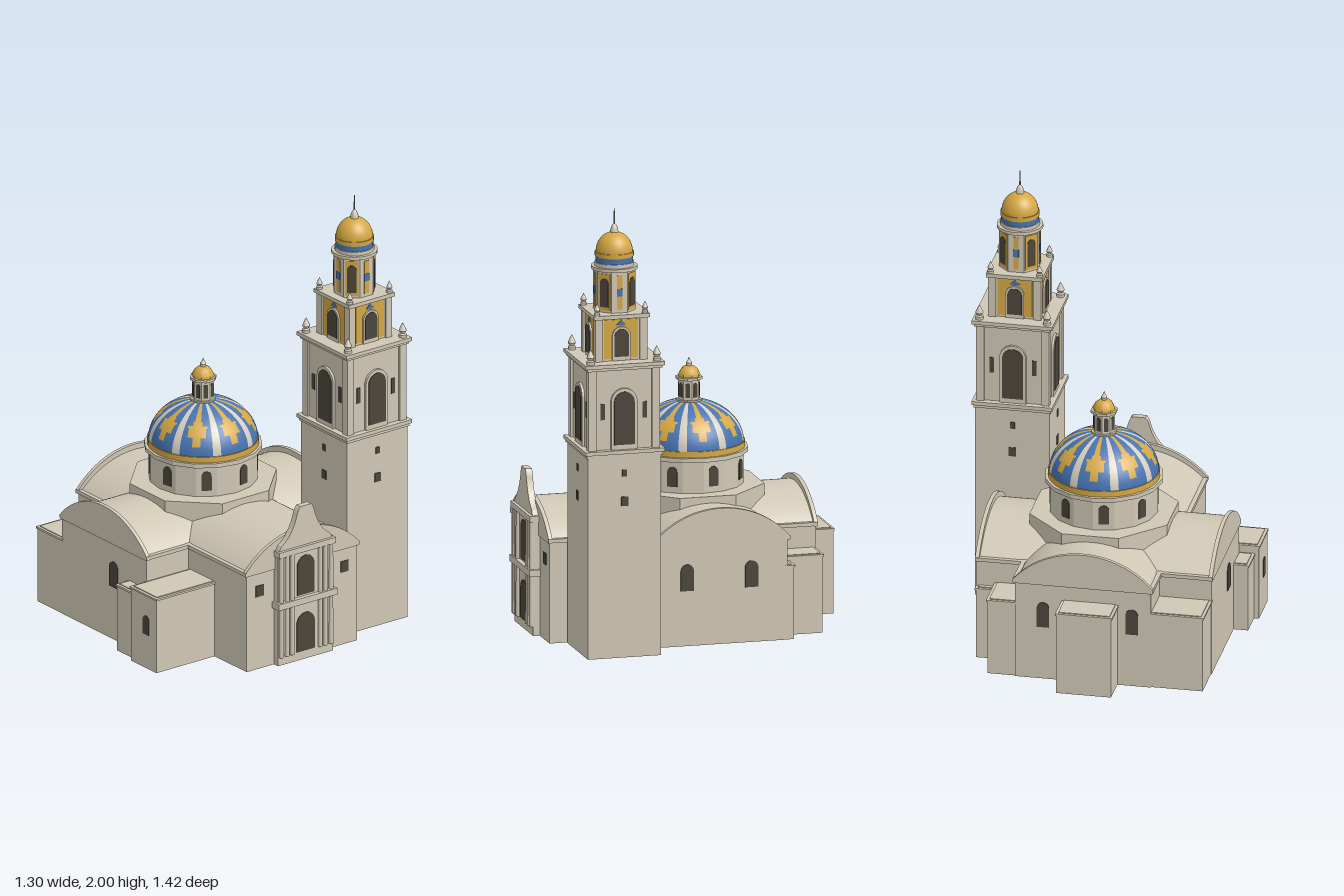
import * as THREE from 'three';
import { toCreasedNormals } from 'three/addons/utils/BufferGeometryUtils.js';

const mat = (name, color, side = THREE.FrontSide) =>
  Object.assign(new THREE.MeshStandardMaterial({ color, side }), { name });

export function createModel() {
  const stone = mat('stone', 0xd0c8b5, THREE.DoubleSide); // the halls are open underneath
  const dark = mat('dark opening', 0x4b463b);
  const blue = mat('blue tile', 0x4673b0);
  const gold = mat('gold tile', 0xd5a842);
  const pale = mat('pale rib', 0xd5cfc0);
  const metal = mat('grey metal', 0x8f8d86);

  const model = new THREE.Group();
  model.name = 'domedChurch';
  const group = (name, x = 0, z = 0, parent = model) => {
    const g = new THREE.Group();
    g.name = name;
    g.position.set(x, 0, z);
    parent.add(g);
    return g;
  };
  const add = (parent, name, geo, material, x = 0, y = 0, z = 0) => {
    const m = new THREE.Mesh(geo, material);
    m.name = name;
    m.position.set(x, y, z);
    parent.add(m);
    return m;
  };
  // drop the faces lying on the lowest level
  const openBottom = geo => {
    const g = geo.index ? geo.toNonIndexed() : geo, p = g.attributes.position, keep = [];
    g.computeBoundingBox();
    const low = g.boundingBox.min.y + 1e-5;
    for (let i = 0; i < p.count; i += 3)
      if (Math.max(p.getY(i), p.getY(i + 1), p.getY(i + 2)) > low) keep.push(i, i + 1, i + 2);
    g.clearGroups();
    g.setIndex(keep);
    return g;
  };
  // box given by its extents; those on the ground have no floor
  const box = (parent, name, x0, x1, y0, y1, z0, z1) => {
    const geo = new THREE.BoxGeometry(x1 - x0, y1 - y0, z1 - z0);
    return add(parent, name, y0 === 0 ? openBottom(geo) : geo, stone, (x0 + x1) / 2, (y0 + y1) / 2, (z0 + z1) / 2);
  };
  const slab = (parent, name, h, y0, y1) => box(parent, name, -h, h, y0, y1, -h, h);
  // upright prism with a flat side facing the front
  const prism = (parent, name, apothem, sides, y0, y1, material = stone, smooth = false) => {
    const r = apothem / Math.cos(Math.PI / sides);
    const geo = new THREE.CylinderGeometry(r, r, y1 - y0, sides, 1, false, Math.PI / sides);
    return add(parent, name, toCreasedNormals(geo, smooth ? 0.6 : 0.1), material, 0, (y0 + y1) / 2, 0);
  };
  const lathe = (parent, name, pts, material, x = 0, y = 0, z = 0, seg = 12) =>
    add(parent, name, toCreasedNormals(new THREE.LatheGeometry(pts.map(p => new THREE.Vector2(...p)), seg), 0.7),
      material, x, y, z);
  const archShape = (h, y0, y1) => {
    const s = new THREE.Shape();
    s.moveTo(-h, y0);
    s.lineTo(h, y0);
    s.lineTo(h, y1 - h);
    s.absarc(0, y1 - h, h, 0, Math.PI, false);
    s.closePath();
    return s;
  };
  const polygon = pts => new THREE.Shape(pts.map(p => new THREE.Vector2(...p)));
  const rectShape = (h, y0, y1) => polygon([[-h, y0], [h, y0], [h, y1], [-h, y1]]);
  // thin plate on a wall: turned by angle about the parent's axis, at a distance from it
  const plate = (parent, name, shape, material, angle, dist, u = 0, depth = 0.004) => {
    const geo = new THREE.ExtrudeGeometry(shape, { depth, bevelEnabled: false, curveSegments: 10 });
    geo.translate(u, 0, dist - 0.001).rotateY(angle);
    return add(parent, name, geo, material);
  };
  // segmental barrel vault on walls, running along z
  const vault = (parent, name, h, y0, eave, crest, z0, z1) => {
    const rise = crest - eave, r = (h * h + rise * rise) / (2 * rise), a = Math.asin(h / r);
    const s = new THREE.Shape();
    s.moveTo(-h, y0);
    s.lineTo(h, y0);
    s.absarc(0, crest - r, r, Math.PI / 2 - a, Math.PI / 2 + a, false);
    s.closePath();
    const geo = toCreasedNormals(
      new THREE.ExtrudeGeometry(s, { depth: z1 - z0, bevelEnabled: false, curveSegments: 28 }), 0.3);
    return add(parent, name, y0 === 0 ? openBottom(geo) : geo, stone, 0, 0, z0);
  };
  const Q = Math.PI / 2;

  // nave and transept, each a vaulted hall with raised end ribs and eaves
  const hall = (name, x, z, angle, z0, z1, h) => {
    const g = group(name, x, z);
    g.rotation.y = angle;
    vault(g, 'vaultedBody', h, 0, 0.46, 0.592, z0 + 0.006, z1 - 0.006);
    for (const [a, b] of [[z0, z0 + 0.018], [z1 - 0.018, z1]])
      vault(g, 'endRib', h + 0.008, 0.455, 0.474, 0.617, a, b);
    for (const s of [-1, 1]) box(g, 'eave', s * h - 0.01, s * h + 0.01, 0.457, 0.474, z0, z1);
  };
  hall('nave', -0.015, 0, 0, -0.572, 0.664, 0.306);
  hall('transept', 0, -0.07, Q, -0.562, 0.508, 0.306);

  // low side blocks with a coping and an inset roof slab
  const annex = (name, x0, x1, y, z0, z1) => {
    box(model, name, x0, x1, 0, y - 0.012, z0, z1);
    box(model, name + 'Coping', x0 - 0.005, x1 + 0.005, y - 0.013, y - 0.004, z0 - 0.005, z1 + 0.005);
    box(model, name + 'Roof', x0 + 0.008, x1 - 0.008, y - 0.005, y, z0 + 0.008, z1 - 0.008);
  };
  annex('backRightBlock', -0.553, -0.3, 0.36, -0.56, -0.37);
  annex('backLeftBlock', 0.28, 0.417, 0.36, -0.56, -0.37);
  annex('backLeftButtress', 0.4, 0.5, 0.34, -0.405, -0.37);
  annex('frontRightBlock', -0.644, -0.31, 0.358, 0.24, 0.425);
  annex('rightPorch', -0.622, -0.55, 0.32, 0.11, 0.236);
  annex('rearApse', -0.17, 0.077, 0.39, -0.705, -0.56);

  // wall windows
  const wall = group('wallWindows');
  for (const u of [-0.085, 0.21]) plate(wall, 'transeptWindow', archShape(0.03, 0.25, 0.37), dark, Q, 0.503, u);
  plate(wall, 'transeptWindow', archShape(0.03, 0.25, 0.37), dark, -Q, 0.557, 0);
  plate(wall, 'blockWindow', archShape(0.022, 0.16, 0.25), dark, -Q, 0.644, 0.35);
  for (const u of [-0.165, 0.235]) plate(wall, 'rearWindow', archShape(0.028, 0.25, 0.37), dark, Math.PI, 0.567, u);
  for (const u of [-0.25, 0.222]) plate(wall, 'frontWindow', rectShape(0.021, 0.345, 0.397), dark, 0, 0.659, u);

  // ornate front with grouped columns and curved gable
  const f = group('entranceFront', -0.017);
  box(f, 'backPanel', -0.152, 0.152, 0, 0.52, 0.65, 0.688);
  box(f, 'lowerCornice', -0.163, 0.163, 0.272, 0.302, 0.65, 0.709);
  box(f, 'upperCornice', -0.157, 0.157, 0.518, 0.545, 0.65, 0.705);
  for (const s of [-1, 1])
    for (const x of [0.078, 0.106, 0.138])
      for (const [y0, y1] of [[0.04, 0.272], [0.302, 0.518]])
        add(f, 'column', new THREE.CylinderGeometry(0.01, 0.011, y1 - y0, 10), stone, s * x, (y0 + y1) / 2, 0.693);
  plate(f, 'door', archShape(0.05, 0.04, 0.222), dark, 0, 0.688);
  plate(f, 'upperWindow', archShape(0.048, 0.31, 0.495), dark, 0, 0.688);
  const gable = new THREE.Shape();
  gable.moveTo(-0.15, 0.54);
  gable.lineTo(0.15, 0.54);
  gable.lineTo(0.135, 0.567);
  gable.quadraticCurveTo(0.075, 0.605, 0.05, 0.69);
  gable.quadraticCurveTo(0.043, 0.72, 0.03, 0.732);
  gable.lineTo(-0.03, 0.732);
  gable.quadraticCurveTo(-0.043, 0.72, -0.05, 0.69);
  gable.quadraticCurveTo(-0.075, 0.605, -0.135, 0.567);
  add(f, 'gable', new THREE.ExtrudeGeometry(gable, { depth: 0.03, bevelEnabled: false }), stone, 0, 0, 0.66);

  // crossing, drum and tiled dome
  const d = group('centralDome', -0.009, -0.067);
  prism(d, 'octagonBase', 0.31, 8, 0.44, 0.622);
  const turned = [prism(d, 'drum', 0.238, 16, 0.62, 0.77), prism(d, 'drumCornice', 0.258, 16, 0.765, 0.785)];
  turned.forEach(m => { m.rotation.y = Math.PI / 16; });
  for (let i = 0; i < 8; i++)
    plate(d, 'drumWindow', archShape(0.023, 0.65, 0.74), dark, Math.PI / 16 + i * Math.PI / 4, 0.238);
  prism(d, 'goldBand', 0.247, 48, 0.785, 0.812, gold, true);

  // dome shell: pale ribs and gold crosses picked cell by cell
  const cols = 160, rows = 30, rad = 0.243, high = 0.193;
  const shell = new THREE.SphereGeometry(1, cols, rows, 0, Math.PI * 2, 0, Q);
  shell.scale(rad, high, rad);
  const pos = shell.attributes.position, src = shell.index.array, lists = [[], [], []];
  for (let i = 0; i < src.length; i += 3) {
    let x = 0, y = 0, z = 0;
    for (let k = 0; k < 3; k++) {
      x += pos.getX(src[i + k]); y += pos.getY(src[i + k]); z += pos.getZ(src[i + k]);
    }
    const da = Math.PI * 2 / cols, dl = Q / rows;
    const ang = (Math.floor(Math.atan2(x, z) / da) + 0.5) * da;
    const lat = (Math.floor(Math.atan2(y / high, Math.hypot(x, z) / rad) / dl) + 0.5) * dl;
    const off = Math.abs(ang - Math.round(ang / (Q / 2)) * Q / 2);
    const w = off * rad * Math.cos(lat), deg = lat * 180 / Math.PI;
    const arm = deg > 27 && deg < 42 && w < 0.041;
    const post = deg > 16 && deg < 48 && w < 0.02;
    const stem = deg >= 48 && off < 0.075;
    lists[arm || post || stem ? 1 : off > Math.PI / 8 - 0.06 ? 2 : 0].push(src[i], src[i + 1], src[i + 2]);
  }
  shell.setIndex(lists.flat());
  let start = 0;
  lists.forEach((l, i) => { shell.addGroup(start, l.length, i); start += l.length; });
  add(d, 'domeShell', shell, [blue, gold, pale], 0, 0.803, 0);

  // lantern on the dome
  prism(d, 'lanternFoot', 0.054, 8, 0.975, 0.998);
  const lantern = group('lantern', 0, 0, d);
  lantern.rotation.y = Q / 4;
  prism(lantern, 'lanternWall', 0.045, 8, 0.99, 1.092);
  for (let i = 0; i < 8; i++)
    plate(lantern, 'lanternWindow', archShape(0.01, 1.01, 1.075), dark, i * Q / 2, 0.045, 0, 0.003);
  prism(d, 'lanternCornice', 0.056, 8, 1.088, 1.1);
  lathe(d, 'lanternCap', [[0.05, 1.1], [0.049, 1.113], [0.038, 1.133], [0.022, 1.146], [0, 1.15]], gold, 0, 0, 0, 8);
  lathe(d, 'lanternFinial', [[0.012, 1.145], [0.014, 1.16], [0.006, 1.172], [0, 1.188]], stone);

  // bell tower
  const t = group('bellTower', 0.467, 0.41);
  slab(t, 'shaft', 0.168, 0, 0.915);
  slab(t, 'shaftCornice', 0.174, 0.912, 0.928);
  slab(t, 'shaftCorniceTop', 0.182, 0.926, 0.943);
  slab(t, 'belfry', 0.153, 0.94, 1.32);
  slab(t, 'belfryCornice', 0.172, 1.305, 1.32);
  slab(t, 'belfryCorniceTop', 0.182, 1.318, 1.335);
  slab(t, 'upperBelfry', 0.11, 1.335, 1.53);
  slab(t, 'upperCornice', 0.128, 1.527, 1.545);
  const finial = (s, h, r, y) => {
    for (const x of [-s, s]) for (const z of [-s, s])
      lathe(t, 'cornerFinial', [[r, 0], [r, h * 0.2], [r * 0.6, h * 0.28], [r, h * 0.45], [r * 0.5, h * 0.75], [0, h]],
        stone, x, y, z);
  };
  finial(0.152, 0.07, 0.018, 1.335);
  finial(0.11, 0.055, 0.014, 1.545);
  for (const x of [-1, 1]) for (const z of [-1, 1]) {
    box(t, 'belfryPilaster', x * 0.146 - 0.018, x * 0.146 + 0.018, 0.943, 1.306, z * 0.146 - 0.018, z * 0.146 + 0.018);
    box(t, 'upperPilaster', x * 0.102 - 0.017, x * 0.102 + 0.017, 1.335, 1.528, z * 0.102 - 0.017, z * 0.102 + 0.017);
  }
  const diamond = polygon([[0, 1.493], [0.022, 1.498], [0, 1.519], [-0.022, 1.498]]);
  for (let i = 0; i < 4; i++) {
    const a = i * Q;
    plate(t, 'shaftWindow', rectShape(0.016, 0.688, 0.73), dark, a, 0.168);
    plate(t, 'shaftSlot', rectShape(0.011, 0.822, 0.853), dark, a, 0.168);
    plate(t, 'belfryArchFrame', archShape(0.06, 0.943, 1.22), stone, a, 0.153, 0, 0.012);
    plate(t, 'belfryArch', archShape(0.047, 0.965, 1.205), dark, a, 0.164);
    for (const u of [-0.096, 0.096])
      plate(t, 'belfrySlit', rectShape(0.01, 1.08, 1.153), dark, a, 0.153, u);
    plate(t, 'goldPanel', rectShape(0.078, 1.345, 1.522), gold, a, 0.11);
    plate(t, 'upperArchFrame', archShape(0.042, 1.337, 1.49), stone, a, 0.112, 0, 0.01);
    plate(t, 'upperArch', archShape(0.033, 1.355, 1.48), dark, a, 0.121);
    plate(t, 'blueDiamond', diamond, blue, a, 0.113);
    // octagonal stage: tile strips on the straight sides, openings on the diagonals
    plate(t, 'goldStrip', rectShape(0.012, 1.56, 1.715), gold, a, 0.087);
    plate(t, 'blueSquare', rectShape(0.013, 1.62, 1.655), blue, a, 0.089);
    plate(t, 'goldDiagonal', rectShape(0.03, 1.555, 1.72), gold, a + Q / 2, 0.087);
    plate(t, 'octagonArch', archShape(0.021, 1.57, 1.7), dark, a + Q / 2, 0.089);
  }
  prism(t, 'octagonStage', 0.087, 8, 1.545, 1.735);
  prism(t, 'octagonCornice', 0.102, 24, 1.73, 1.745, stone, true);
  prism(t, 'capFoot', 0.087, 24, 1.742, 1.762, stone, true);
  prism(t, 'blueRing', 0.083, 32, 1.76, 1.79, blue, true);
  prism(t, 'goldRing', 0.086, 32, 1.788, 1.808, gold, true);
  add(t, 'towerDome', new THREE.SphereGeometry(0.082, 32, 14, 0, Math.PI * 2, 0, Q), gold, 0, 1.807, 0)
    .scale.y = 1.08;
  lathe(t, 'towerFinial', [[0.019, 1.885], [0.018, 1.905], [0.012, 1.92], [0.006, 1.93], [0, 1.935]], stone);
  add(t, 'spike', new THREE.CylinderGeometry(0.002, 0.004, 0.075, 8), metal, 0, 1.9625, 0);
  return model;
}
